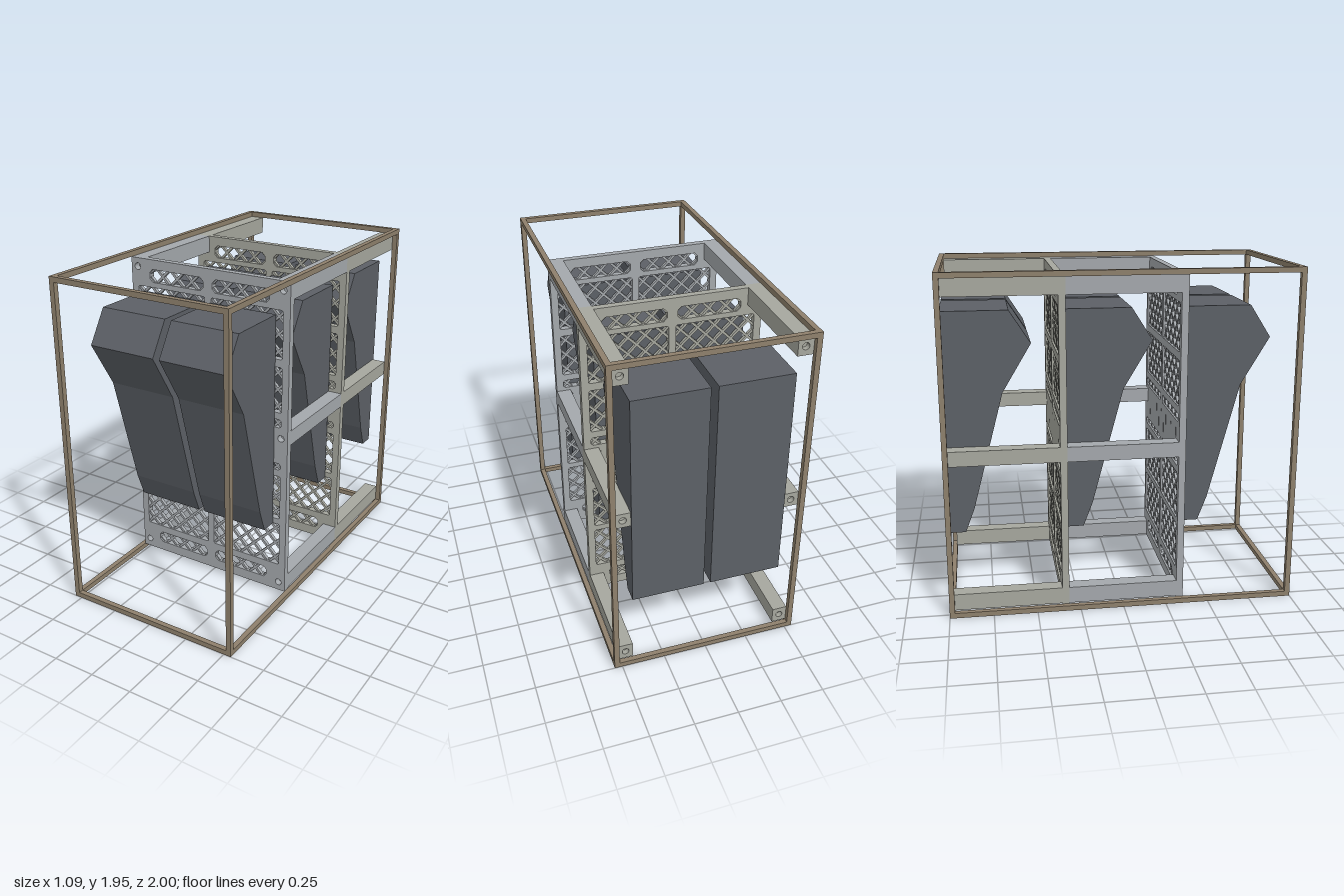
import * as THREE from 'three';

const mat = (color) => new THREE.MeshStandardMaterial({ color });
const CABINET = mat(0x5c6066), FRAME = mat(0x8e806c);
const GREYS = [mat(0xa4a8ac), mat(0xa6a79e)];

const HALF_W = 0.545, HEIGHT = 1.95, BAR = 0.03;
const INNER = HALF_W - BAR; // inside half width of the outer frame
const PANEL_Z = [0.335, -0.335], PANEL_T = 0.04;

function add(parent, name, geometry, material, x = 0, y = 0, z = 0) {
  const mesh = new THREE.Mesh(geometry, material);
  mesh.name = name;
  mesh.position.set(x, y, z);
  parent.add(mesh);
  return mesh;
}

const extrude = (shape, depth) =>
  new THREE.ExtrudeGeometry(shape, { depth, bevelEnabled: false, curveSegments: 10 });

// Rectangle with cut corners
function rectPath(Type, x0, y0, x1, y1, c = 0) {
  const pts = c
    ? [[x0 + c, y0], [x1 - c, y0], [x1, y0 + c], [x1, y1 - c], [x1 - c, y1], [x0 + c, y1], [x0, y1 - c], [x0, y0 + c]]
    : [[x0, y0], [x1, y0], [x1, y1], [x0, y1]];
  return new Type(pts.map(([x, y]) => new THREE.Vector2(x, y)));
}

const circleHole = (x, y, r) => new THREE.Path().absarc(x, y, r, 0, Math.PI * 2, true);

// Window rows of a panel, one half: [x0, x1, y0, y1, corner cut]
const WINDOWS = [
  [0.03, 0.39, 0.09, 0.16, 0.02],
  [0.02, 0.473, 0.205, 0.475, 0.008],
  [0.02, 0.473, 0.51, 0.785, 0.008],
  [0.03, 0.473, 0.825, 0.865, 0.012],
  [0.03, 0.473, 1.085, 1.135, 0.012],
  [0.02, 0.473, 1.175, 1.44, 0.008],
  [0.02, 0.473, 1.485, 1.76, 0.008],
  [0.03, 0.39, 1.79, 1.865, 0.02],
];

// Rail centres: the two middle rails sit at different heights
const RAIL_X = 0.4725;
const RAILS = [];
for (const s of [-1, 1])
  for (const [y, h] of [[0.083, 0.096], [s > 0 ? 1.022 : 0.935, 0.086], [1.87, 0.1]])
    RAILS.push([s * RAIL_X, y, h]);

// Crossed diagonal bars clipped to one window
function addLattice(parent, [x0, x1, y0, y1], material) {
  const pitch = 0.098, w = x1 - x0, h = y1 - y0;
  const cx = (x0 + x1) / 2, cy = (y0 + y1) / 2;
  for (const s of [-1, 1]) {
    const n = Math.ceil((w + h) / 2 / pitch);
    for (let i = -n; i <= n; i++) {
      const c = i * pitch; // the bar follows x = c + s * y
      const lo = Math.max(-h / 2, s > 0 ? -w / 2 - c : c - w / 2);
      const hi = Math.min(h / 2, s > 0 ? w / 2 - c : c + w / 2);
      if (hi - lo < 0.01) continue;
      const m = (lo + hi) / 2;
      const bar = add(parent, 'latticeBar', new THREE.BoxGeometry(0.014, (hi - lo) * Math.SQRT2 + 0.01, 0.02),
        material, cx + c + s * m, cy + m, 0);
      bar.rotation.z = -s * Math.PI / 4;
    }
  }
}

function makePanel(name, material) {
  const panel = new THREE.Group();
  panel.name = name;
  const shape = rectPath(THREE.Shape, -INNER, BAR, INNER, 1.92);
  for (const [x0, x1, y0, y1, c] of WINDOWS) {
    for (const [a, b] of [[x0, x1], [-x1, -x0]]) {
      shape.holes.push(rectPath(THREE.Path, a, y0, b, y1, c));
      addLattice(panel, [a, b, y0, y1], material);
    }
  }
  for (const [x, y] of RAILS) shape.holes.push(circleHole(x, y, 0.02));
  // Slits of the toothed joint between upper and lower halves
  for (let i = -6; i <= 6; i++) {
    const y = i % 2 ? 0.91 : 0.98;
    shape.holes.push(rectPath(THREE.Path, i * 0.07 - 0.003, y, i * 0.07 + 0.003, y + 0.06));
  }
  add(panel, 'panelSheet', extrude(shape, PANEL_T), material, 0, 0, -PANEL_T / 2);
  return panel;
}

// Rail from z0 back to z1, with a blind bolt hole in its rear end
function addRail(parent, [x, y, h], z0, z1, material) {
  const w = 0.085, end = 0.03;
  const len = z0 - z1 - end;
  add(parent, 'rail', new THREE.BoxGeometry(w, h, len), material, x, y, z0 - len / 2);
  const shape = rectPath(THREE.Shape, -w / 2, -h / 2, w / 2, h / 2);
  shape.holes.push(circleHole(0, 0, 0.02));
  add(parent, 'railEnd', extrude(shape, end), material, x, y, z1);
}

// Cabinet side profile as (z, y), back plane at z = 0
const PROFILE = [[0, 0.475], [0.095, 0.475], [0.148, 0.615], [0.325, 1.28], [0.487, 1.55], [0.37, 1.733], [0, 1.733]];

function cabinetGeometry(width) {
  const shape = new THREE.Shape(PROFILE.map(([z, y]) => new THREE.Vector2(z, y)));
  const g = extrude(shape, width);
  g.translate(0, 0, -width / 2);
  g.rotateY(-Math.PI / 2); // profile z-axis now points to the front
  return g;
}

export function createModel() {
  const model = new THREE.Group();

  // Outer frame: twelve square bars
  const frame = new THREE.Group();
  frame.name = 'outerFrame';
  model.add(frame);
  const bx = HALF_W - BAR / 2, bz = 1 - BAR / 2;
  for (const a of [-1, 1]) {
    for (const b of [-1, 1]) {
      const y = HEIGHT / 2 + b * (HEIGHT - BAR) / 2;
      add(frame, 'uprightBar', new THREE.BoxGeometry(BAR, HEIGHT, BAR), FRAME, a * bx, HEIGHT / 2, b * bz);
      add(frame, 'crossBar', new THREE.BoxGeometry(INNER * 2, BAR, BAR), FRAME, 0, y, a * bz);
      add(frame, 'lengthBar', new THREE.BoxGeometry(BAR, BAR, 2 - 2 * BAR), FRAME, a * bx, y, 0);
    }
  }

  // Two lattice panels, each with six rails running backwards
  PANEL_Z.forEach((z, i) => {
    const panel = makePanel(i ? 'rearPanel' : 'frontPanel', GREYS[i]);
    panel.position.z = z;
    model.add(panel);
    const rails = new THREE.Group();
    rails.name = i ? 'rearRails' : 'frontRails';
    model.add(rails);
    const z1 = i ? -0.973 : PANEL_Z[1] + PANEL_T / 2;
    for (const r of RAILS) addRail(rails, r, z - PANEL_T / 2, z1, GREYS[i]);
  });

  // Three rows of paired cabinets
  const geometry = cabinetGeometry(0.41);
  for (const z of [0.356, -0.314, -0.985])
    for (const s of [-1, 1]) add(model, 'cabinet', geometry, CABINET, s * 0.225, 0, z);

  return model;
}
